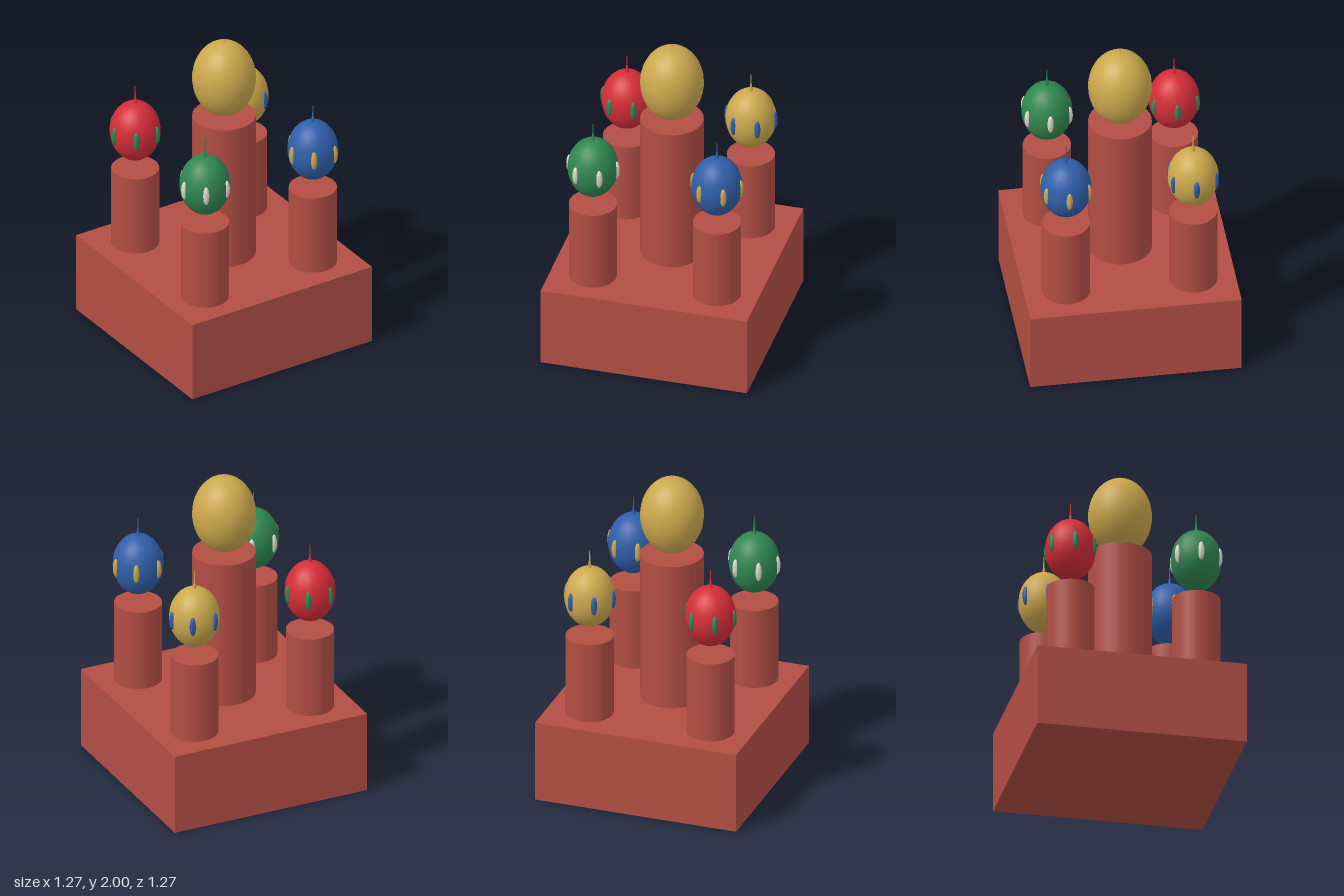
import * as THREE from 'three';

const material = (name, color) => {
  const m = new THREE.MeshStandardMaterial({ color });
  m.name = name;
  return m;
};

export function createModel() {
  const brick = material('brick red', 0xb24e44);
  const gold = material('gold', 0xcba84c);
  const blue = material('blue', 0x2f5fa9);
  const green = material('green', 0x2f8650);
  const red = material('red', 0xd42d38);
  const cream = material('cream', 0xdcd9cc);

  const model = new THREE.Group();
  model.name = 'domedBuilding';

  const add = (parent, name, geometry, mat, x = 0, y = 0, z = 0) => {
    const mesh = new THREE.Mesh(geometry, mat);
    mesh.name = name;
    mesh.position.set(x, y, z);
    parent.add(mesh);
    return mesh;
  };

  const ellipsoid = (r, ry, segments, rings) =>
    new THREE.SphereGeometry(1, segments, rings).scale(r, ry, r);

  // Tapering spike that flares where it meets the dome
  const spire = (baseRadius, height) => new THREE.LatheGeometry([
    new THREE.Vector2(baseRadius, 0),
    new THREE.Vector2(baseRadius * 0.35, height * 0.5),
    new THREE.Vector2(baseRadius * 0.2, height),
    new THREE.Vector2(0, height),
  ], 10);

  // Square base block
  add(model, 'base', new THREE.BoxGeometry(1.275, 0.51, 1.275), brick, 0, 0.255, 0);

  // Central tower with its large floating dome
  const central = new THREE.Group();
  central.name = 'centralTower';
  model.add(central);
  add(central, 'shaft', new THREE.CylinderGeometry(0.19, 0.19, 0.94, 32), brick, 0, 0.98, 0);
  add(central, 'dome', ellipsoid(0.191, 0.242, 32, 24), gold, 0, 1.705, 0);
  add(central, 'spire', spire(0.004, 0.06), gold, 0, 1.94, 0);

  // Four corner towers, each with a dome ringed by six raised ovals
  const corners = [
    ['frontRightTower', -1, 1, green, cream],
    ['frontLeftTower', 1, 1, blue, gold],
    ['backRightTower', -1, -1, red, green],
    ['backLeftTower', 1, -1, gold, blue],
  ];
  const shaftGeometry = new THREE.CylinderGeometry(0.144, 0.144, 0.511, 32);
  const domeGeometry = ellipsoid(0.153, 0.191, 20, 20);
  const ovalGeometry = ellipsoid(0.02, 0.06, 12, 10);
  const spireGeometry = spire(0.012, 0.12);

  for (const [name, sx, sz, domeColor, ovalColor] of corners) {
    const tower = new THREE.Group();
    tower.name = name;
    tower.position.set(sx * 0.383, 0, sz * 0.383);
    model.add(tower);
    add(tower, 'shaft', shaftGeometry, brick, 0, 0.7655, 0);
    add(tower, 'dome', domeGeometry, domeColor, 0, 1.278, 0);
    add(tower, 'spire', spireGeometry, domeColor, 0, 1.46, 0);
    for (let i = 0; i < 6; i++) {
      const a = i * Math.PI / 3;
      add(tower, 'oval', ovalGeometry, ovalColor, 0.145 * Math.cos(a), 1.28, 0.145 * Math.sin(a));
    }
  }

  return model;
}
